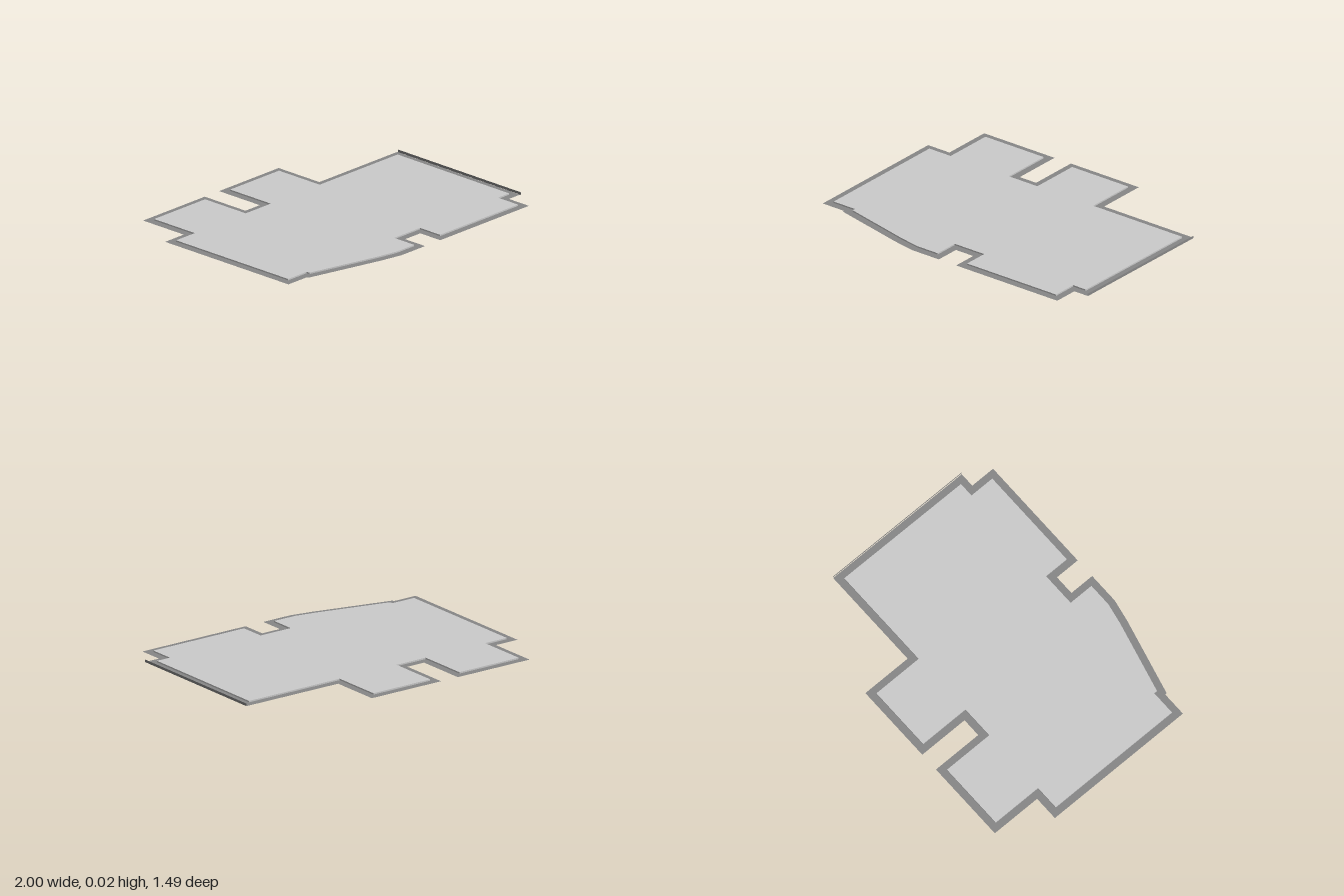
import * as THREE from 'three';

// Outer outline of the rim as [x, z], starting at the back left corner
const OUTLINE = [
  [-1, -0.42], [-0.84, -0.42], [-0.84, -0.75], [-0.31, -0.75], [-0.31, -0.42],
  [-0.187, -0.42], [-0.187, -0.75], [0.325, -0.75], [0.325, -0.42], [0.995, -0.42],
  [0.99, 0.58], [0.895, 0.58], [0.895, 0.742], [0.133, 0.742], [0.133, 0.58],
  [0.003, 0.58], [0.003, 0.742], [-0.2, 0.742], [-0.345, 0.714], [-0.84, 0.592],
  [-0.84, 0.58], [-1, 0.58],
];
const RIM = 0.046;
const SLAB_HEIGHT = 0.011;

// Move every edge inwards by d and join the moved edges with mitres
function inset(points, d) {
  const n = points.length;
  const normal = (a, b) => {
    const dx = b[0] - a[0], dz = b[1] - a[1], l = Math.hypot(dx, dz);
    return [-dz / l, dx / l];
  };
  return points.map((p, i) => {
    const u = normal(points[(i + n - 1) % n], p);
    const v = normal(p, points[(i + 1) % n]);
    const k = d / (1 + u[0] * v[0] + u[1] * v[1]);
    return [p[0] + (u[0] + v[0]) * k, p[1] + (u[1] + v[1]) * k];
  });
}

const toVectors = (points) => points.map(([x, z]) => new THREE.Vector2(x, -z));

export function createModel() {
  const group = new THREE.Group();
  const slabMaterial = new THREE.MeshStandardMaterial({ color: 0xcccccc });
  const rimMaterial = new THREE.MeshStandardMaterial({ color: 0x888888, side: THREE.DoubleSide });
  const add = (name, geometry, material) => {
    const mesh = new THREE.Mesh(geometry, material);
    mesh.name = name;
    group.add(mesh);
    return mesh;
  };
  const inner = inset(OUTLINE, RIM);

  // Raised floor slab
  const slab = new THREE.ExtrudeGeometry(new THREE.Shape(toVectors(inner)), {
    depth: SLAB_HEIGHT, bevelEnabled: false,
  });
  add('floorSlab', slab.rotateX(-Math.PI / 2), slabMaterial);

  // Flat rim sheet around the slab
  const rim = new THREE.Shape(toVectors(OUTLINE));
  rim.holes.push(new THREE.Path(toVectors(inner)));
  add('rim', new THREE.ShapeGeometry(rim).rotateX(-Math.PI / 2), rimMaterial).position.y = 0.002;

  // Thin upright strip along the left edge
  const strip = add('edgeStrip', new THREE.PlaneGeometry(1, 0.016).rotateY(Math.PI / 2), rimMaterial);
  strip.position.set(0.997, 0.008, 0.083);
  strip.rotation.y = -0.004;

  return group;
}
